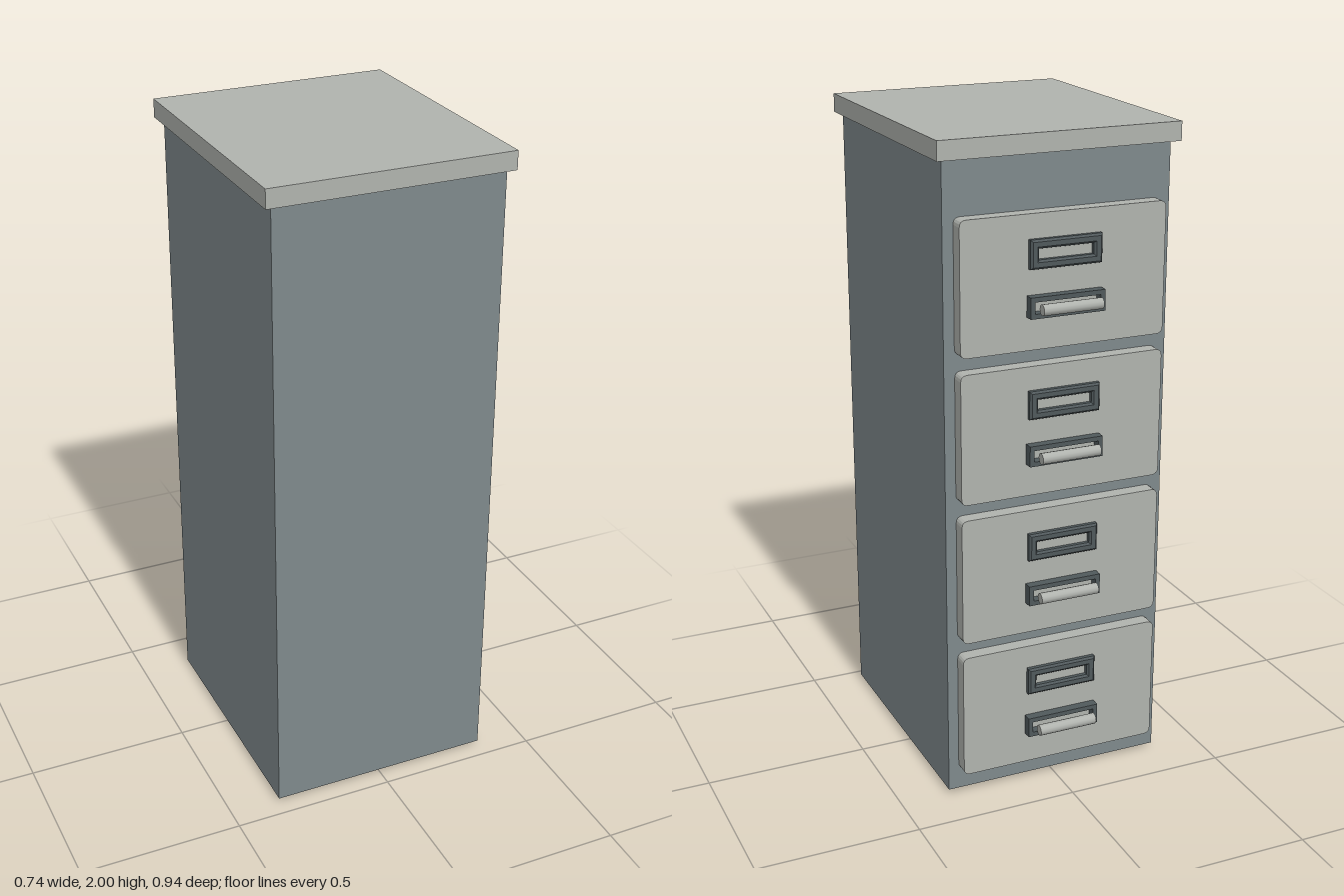
import * as THREE from 'three';

const mat = (name, color) => {
  const m = new THREE.MeshStandardMaterial({ color });
  m.name = name;
  return m;
};

// Rounded rectangle outline centred on the origin
function roundedRect(target, w, h, r) {
  const x = w / 2, y = h / 2;
  target.moveTo(-x + r, -y);
  target.lineTo(x - r, -y);
  target.quadraticCurveTo(x, -y, x, -y + r);
  target.lineTo(x, y - r);
  target.quadraticCurveTo(x, y, x - r, y);
  target.lineTo(-x + r, y);
  target.quadraticCurveTo(-x, y, -x, y - r);
  target.lineTo(-x, -y + r);
  target.quadraticCurveTo(-x, -y, -x + r, -y);
  return target;
}

// Rectangular frame with a through opening, extruded towards +z
function frameGeometry(w, h, border, depth, bevel = 0) {
  const s = new THREE.Shape();
  const rect = (p, a, b) => p.moveTo(-a, -b).lineTo(a, -b).lineTo(a, b).lineTo(-a, b).closePath();
  rect(s, w / 2 - bevel, h / 2 - bevel);
  const hole = new THREE.Path();
  rect(hole, w / 2 - border, h / 2 - border);
  s.holes.push(hole);
  return new THREE.ExtrudeGeometry(s, {
    depth: depth - bevel, bevelEnabled: bevel > 0, bevelSize: bevel, bevelThickness: bevel, bevelSegments: 1,
  });
}

export function createModel() {
  const model = new THREE.Group();
  model.name = 'filingCabinet';
  const bodyGrey = mat('body grey', 0x7f898c);
  const paleGrey = mat('pale grey', 0xb0b3ae);
  const darkGrey = mat('dark grey', 0x50595c);

  const add = (parent, name, geometry, material, x, y, z) => {
    const mesh = new THREE.Mesh(geometry, material);
    mesh.name = name;
    mesh.position.set(x, y, z);
    parent.add(mesh);
    return mesh;
  };

  // Carcass and overhanging top
  add(model, 'body', new THREE.BoxGeometry(0.695, 1.93, 0.806), bodyGrey, 0, 0.98, 0.047);
  add(model, 'top', new THREE.BoxGeometry(0.738, 0.056, 0.848), paleGrey, 0, 1.972, 0.044);

  // Four feet
  const footGeo = new THREE.BoxGeometry(0.08, 0.016, 0.095);
  for (const x of [-0.287, 0.287]) {
    for (const z of [-0.283, 0.377]) add(model, 'foot', footGeo, darkGrey, x, 0.008, z);
  }

  // Drawers, built facing +z and turned to face the back
  const drawerGeo = new THREE.ExtrudeGeometry(roundedRect(new THREE.Shape(), 0.63, 0.39, 0.02),
    { depth: 0.044, bevelEnabled: false, curveSegments: 4 });
  const labelGeo = frameGeometry(0.22, 0.084, 0.02, 0.018, 0.006);
  const handleGeo = frameGeometry(0.23, 0.062, 0.014, 0.028);
  const barGeo = new THREE.CylinderGeometry(0.0165, 0.0165, 0.184, 12).rotateZ(Math.PI / 2);

  for (let i = 0; i < 4; i++) {
    const drawer = new THREE.Group();
    drawer.name = 'drawer';
    drawer.position.set(0, 0.277 + i * 0.4375, -0.356);
    drawer.rotation.y = Math.PI;
    add(drawer, 'drawerFront', drawerGeo, paleGrey, 0, 0, 0);
    add(drawer, 'labelFrame', labelGeo, darkGrey, 0, 0.082, 0.044);
    add(drawer, 'handleFrame', handleGeo, darkGrey, 0, -0.066, 0.044);
    add(drawer, 'handleBar', barGeo, paleGrey, 0, -0.066, 0.096);
    model.add(drawer);
  }
  return model;
}
